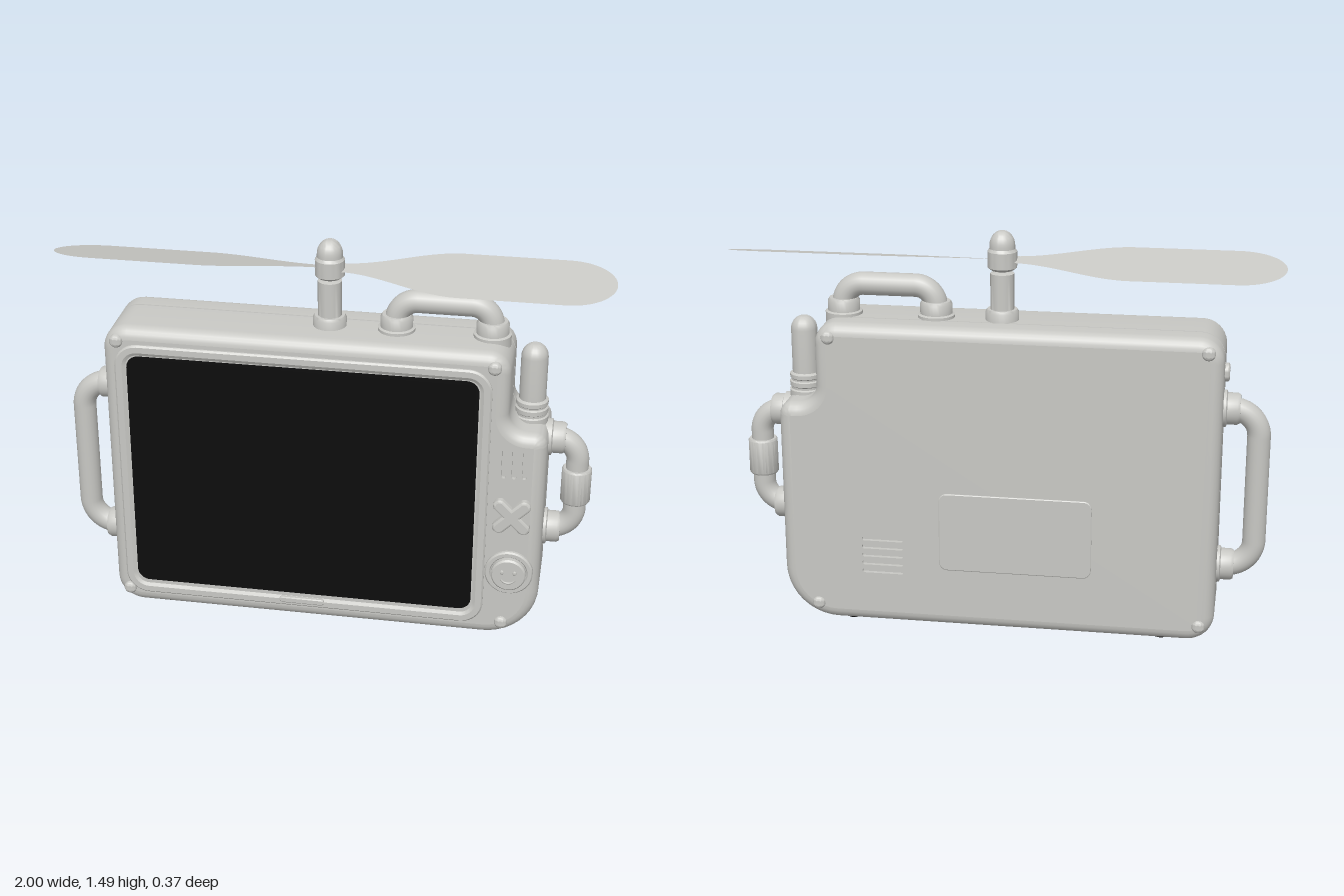
import * as THREE from 'three';
import { mergeGeometries, toCreasedNormals } from 'three/addons/utils/BufferGeometryUtils.js';

const V2 = (x, y) => new THREE.Vector2(x, y);
const V3 = (x, y, z) => new THREE.Vector3(x, y, z);
const AXIS_Z = -0.012; // depth of mast, antenna and handles
const FRONT = 0.15, BACK = -0.175;

// Rounded right-angled outline (counter-clockwise): points with outward normals
function outline(corners, seg = 8) {
  const out = [], n = corners.length;
  corners.forEach(([x, y, r], i) => {
    const a = corners[(i + n - 1) % n], b = corners[(i + 1) % n];
    const d1 = V2(x - a[0], y - a[1]).normalize(), d2 = V2(b[0] - x, b[1] - y).normalize();
    const s = Math.sign(d1.cross(d2));
    const start = Math.atan2(-d1.x, d1.y);
    const c = V2(x - d1.x * r - d1.y * r * s, y - d1.y * r + d1.x * r * s);
    for (let k = 0; k <= seg; k++) {
      const t = start + s * (k / seg) * Math.PI / 2, nx = Math.cos(t), ny = Math.sin(t);
      out.push({ x: c.x + nx * r * s, y: c.y + ny * r * s, nx, ny });
    }
  });
  return out;
}
const rect = (cx, cy, w, h, r) => outline([
  [cx - w / 2, cy - h / 2, r], [cx + w / 2, cy - h / 2, r], [cx + w / 2, cy + h / 2, r], [cx - w / 2, cy + h / 2, r]]);
const inset = (o, d) => o.map(p => V2(p.x - p.nx * d, p.y - p.ny * d));

// Flat end face, facing forwards or backwards
function cap(pts, z, holes = [], back = false) {
  const m = p => V2(back ? -p.x : p.x, p.y);
  const shape = new THREE.Shape(pts.map(m));
  shape.holes = holes.map(h => new THREE.Path(h.map(m)));
  const g = new THREE.ShapeGeometry(shape).toNonIndexed();
  g.deleteAttribute('uv');
  if (back) g.rotateY(Math.PI);
  return g.translate(0, 0, z);
}

// Walls through rings [z, inset] of one outline, with optional end faces
function loft(o, rings, { frontCap = true, backCap = false, frontHoles = [], backHoles = [] } = {}) {
  const pos = [], idx = [], n = o.length;
  rings.forEach(([z, d], k) => {
    inset(o, d).forEach((p, i) => {
      pos.push(p.x, p.y, z);
      if (k < rings.length - 1) {
        const a = k * n + i, b = k * n + (i + 1) % n;
        idx.push(a, b, b + n, a, b + n, a + n);
      }
    });
  });
  let g = new THREE.BufferGeometry();
  g.setAttribute('position', new THREE.Float32BufferAttribute(pos, 3));
  g.setIndex(idx);
  g = toCreasedNormals(g, 0.5);
  const parts = [g], first = rings[0], last = rings[rings.length - 1];
  if (frontCap) parts.push(cap(inset(o, last[1]), last[0], frontHoles));
  if (backCap) parts.push(cap(inset(o, first[1]), first[0], backHoles, true));
  return mergeGeometries(parts);
}

function lathe(pts, seg = 32) {
  return toCreasedNormals(new THREE.LatheGeometry(pts.map(p => V2(...p)), seg), 0.6);
}
// Rounded end for a lathe profile
const dome = (r, y, h) => Array.from({ length: 9 }, (_, i) => {
  const t = i / 8 * Math.PI / 2;
  return [i === 8 ? 0 : r * Math.cos(t), y + h * Math.sin(t)];
});

export function createModel() {
  const model = new THREE.Group();
  const grey = new THREE.MeshStandardMaterial({ color: 0xc8c8c4 });
  grey.name = 'light grey shell';
  const black = new THREE.MeshStandardMaterial({ color: 0x0c0c0c });
  black.name = 'black';
  const greyThin = new THREE.MeshStandardMaterial({ color: 0xc8c8c4, side: THREE.DoubleSide });
  greyThin.name = 'light grey blade';
  const add = (name, geo, mat = grey, parent = model) => {
    const m = new THREE.Mesh(geo, mat);
    m.name = name;
    parent.add(m);
    return m;
  };

  // Casing: stepped outline, rounded rims and a seam groove
  const vents = [0.653, 0.69, 0.727].map(x => rect(x, 0.742, 0.018, 0.12, 0.0085));
  const grilles = [0, 1, 2, 3, 4].map(i => rect(-0.422, 0.218 + i * 0.032, 0.155, 0.016, 0.0075));
  const bevel = 0.045, quarter = [0, 1, 2, 3, 4, 5, 6].map(i => i / 6 * Math.PI / 2);
  const rings = [
    ...quarter.map(t => [BACK + bevel * (1 - Math.sin(t)), bevel * (1 - Math.cos(Math.PI / 2 - (Math.PI / 2 - t)))])
      .map(([z], i) => [z, bevel * (1 - Math.cos(Math.PI / 2 - quarter[i]))]),
    [-0.071, 0], [-0.07, 0.008], [-0.065, 0.008], [-0.064, 0],
    ...quarter.map(t => [FRONT - bevel * (1 - Math.sin(t)), bevel * (1 - Math.cos(t))])];
  // back rim: starts fully inset at the back face and swells to the full outline
  quarter.forEach((t, i) => { rings[i] = [BACK + bevel * (1 - Math.cos(t)), bevel * (1 - Math.sin(t))]; });
  const body = outline([[-0.8, 0.01, 0.1], [0.8, 0.01, 0.2], [0.8, 0.855, 0.05],
    [0.66, 0.855, 0.07], [0.66, 1.16, 0.08], [-0.8, 1.16, 0.09]], 10);
  add('casing', loft(body, rings, {
    backCap: true,
    frontHoles: vents.map(v => inset(v, 0)),
    backHoles: grilles.map(v => inset(v, 0).map(p => V2(-p.x, p.y)).reverse()),
  }));
  vents.forEach(v => add('speakerSlot', loft(v, [[FRONT, 0], [FRONT - 0.015, 0]])));
  grilles.forEach(v => { add('backVentSlot', loft(v, [[-BACK, 0], [-BACK - 0.015, 0]])).rotation.y = Math.PI; });

  // Battery door on the back
  add('batteryDoor', loft(rect(0.07, 0.39, 0.56, 0.3, 0.03),
    [[-BACK - 0.002, 0], [-BACK + 0.003, 0], [-BACK + 0.005, 0.003]])).rotation.y = Math.PI;

  // Screen, its raised frame and the small bar below
  add('screenFrame', loft(rect(-0.077, 0.583, 1.355, 1.035, 0.085),
    [[FRONT - 0.01, 0], [FRONT + 0.006, 0], [FRONT + 0.012, 0.006], [FRONT + 0.012, 0.028],
      [FRONT + 0.005, 0.04], [FRONT + 0.005, 0.06]], { frontCap: false }));
  add('screen', loft(rect(-0.077, 0.59, 1.265, 0.935, 0.045), [[FRONT, 0], [FRONT + 0.009, 0]]), black);
  add('statusBar', loft(rect(-0.077, 0.093, 0.17, 0.024, 0.0115),
    [[FRONT, 0], [FRONT + 0.016, 0], [FRONT + 0.019, 0.004]]));

  // Screws at the corners, front and back
  const screwGeo = lathe([[0.024, 0], [0.024, 0.022], ...dome(0.024, 0.022, 0.013)], 20);
  for (const [x, y] of [[-0.745, 1.11], [0.605, 1.11], [-0.745, 0.075], [0.67, 0.075]]) {
    for (const s of [1, -1]) {
      const m = add(s > 0 ? 'frontScrew' : 'backScrew', screwGeo);
      m.rotation.x = s * Math.PI / 2;
      m.position.set(x, y, s > 0 ? FRONT - 0.018 : BACK + 0.022);
    }
  }

  // Cross button
  for (const a of [1, -1]) {
    const m = add('crossButton', loft(rect(0, 0, 0.17, 0.046, 0.022),
      [[0, 0], [0.02, 0], [0.025, 0.003], [0.027, 0.008]]));
    m.rotation.z = a * Math.PI / 4;
    m.position.set(0.69, 0.535, FRONT);
  }

  // Round button with a smiling face
  const button = new THREE.Group();
  button.name = 'faceButton';
  button.position.set(0.69, 0.297, FRONT);
  model.add(button);
  add('buttonBase', lathe([[0.088, -0.01], [0.088, 0.01], [0.083, 0.016], [0.07, 0.016], [0.066, 0.01],
    [0.064, 0.01], [0.064, 0.026], [0.058, 0.032], [0, 0.032]], 40), grey, button).rotation.x = Math.PI / 2;
  for (const s of [1, -1]) {
    const eye = add('eye', new THREE.SphereGeometry(0.007, 12, 8), grey, button);
    eye.scale.set(1, 1.3, 0.4);
    eye.position.set(s * 0.023, 0.012, 0.032);
  }
  const smile = add('smile', new THREE.TorusGeometry(0.03, 0.004, 8, 20, 2.2), grey, button);
  smile.rotation.z = -Math.PI / 2 - 1.1;
  smile.position.set(0, -0.002, 0.031);

  // Pipe handles: U-shaped tube on two flanged sockets
  const socket = lathe([[0.067, -0.03], [0.067, 0.01], [0.058, 0.014], [0.058, 0.05], [0.052, 0.06], [0.035, 0.06]]);
  function handle(name, span, rise, bend, r) {
    const g = new THREE.Group(), h = span / 2, path = new THREE.CurvePath();
    g.name = name;
    const k = bend * 0.45;
    path.add(new THREE.LineCurve3(V3(-h, 0, 0), V3(-h, rise - bend, 0)));
    path.add(new THREE.CubicBezierCurve3(V3(-h, rise - bend, 0), V3(-h, rise - k, 0), V3(-h + k, rise, 0), V3(-h + bend, rise, 0)));
    path.add(new THREE.LineCurve3(V3(-h + bend, rise, 0), V3(h - bend, rise, 0)));
    path.add(new THREE.CubicBezierCurve3(V3(h - bend, rise, 0), V3(h - k, rise, 0), V3(h, rise - k, 0), V3(h, rise - bend, 0)));
    path.add(new THREE.LineCurve3(V3(h, rise - bend, 0), V3(h, 0, 0)));
    add('pipe', new THREE.TubeGeometry(path, 80, r, 20), grey, g);
    for (const s of [1, -1]) add('socket', socket, grey, g).position.x = s * h;
    model.add(g);
    return g;
  }
  handle('topHandle', 0.34, 0.113, 0.075, 0.042).position.set(0.41, 1.16, AXIS_Z);
  const left = handle('rightSideHandle', 0.603, 0.13, 0.1, 0.042);
  left.rotation.z = Math.PI / 2;
  left.position.set(-0.8, 0.563, AXIS_Z);
  const right = handle('leftSideHandle', 0.37, 0.107, 0.085, 0.041);
  right.rotation.z = -Math.PI / 2;
  right.position.set(0.8, 0.595, AXIS_Z);
  const sleeve = add('gripSleeve', lathe([[0.04, -0.068], [0.05, -0.068], [0.054, -0.062], [0.054, 0.062], [0.05, 0.068], [0.04, 0.068]]), grey, right);
  sleeve.rotation.z = Math.PI / 2;
  sleeve.position.y = 0.107;

  // Round jack on the side
  const jack = add('sideJack', lathe([[0.034, -0.01], [0.034, 0.012], [0.028, 0.017], [0.016, 0.017], [0.014, 0.008], [0, 0.008]], 24));
  jack.rotation.z = Math.PI / 2;
  jack.position.set(-0.8, 1.0, AXIS_Z);

  // Stub antenna with ringed base
  add('antenna', lathe([[0.06, -0.02], [0.06, 0.012], [0.054, 0.016], [0.054, 0.024], [0.059, 0.028], [0.059, 0.044],
    [0.053, 0.048], [0.053, 0.054], [0.058, 0.058], [0.058, 0.072], [0.048, 0.078], ...dome(0.048, 0.24, 0.05)]))
    .position.set(0.732, 0.855, AXIS_Z);

  // Mast and propeller hub
  add('mast', lathe([[0.06, 1.14], [0.06, 1.19], [0.054, 1.2], [0.043, 1.2], [0.043, 1.33], [0.02, 1.335], [0.02, 1.35]]))
    .position.z = AXIS_Z;
  add('propellerHub', lathe([[0, 1.342], [0.04, 1.342], [0.053, 1.352], [0.053, 1.41], [0.046, 1.42], ...dome(0.046, 1.43, 0.055)]))
    .position.z = AXIS_Z;

  // Two pitched blades, narrow at the root and round at the tip
  const blade = new THREE.PlaneGeometry(1, 1, 48, 8), p = blade.attributes.position;
  for (let i = 0; i < p.count; i++) {
    const x = 0.03 + 0.97 * Math.sin((p.getX(i) + 0.5) * Math.PI / 2);
    const tip = Math.sqrt(Math.max(0, 1 - Math.max(0, (x - 0.83) / 0.17) ** 2));
    const w = (0.027 + 0.104 * THREE.MathUtils.smoothstep(x, 0.04, 0.46)) * tip;
    const z = -p.getY(i) * 2 * w;
    p.setXYZ(i, x, 1.38 - z * 0.22, z);
  }
  blade.computeVertexNormals();
  for (const a of [0, Math.PI]) {
    const m = add('propellerBlade', blade, greyThin);
    m.rotation.y = a;
    m.position.z = AXIS_Z;
  }

  // Rubber feet
  for (const x of [-0.605, 0.552]) for (const z of [0.077, -0.1])
    add('foot', new THREE.CylinderGeometry(0.027, 0.027, 0.02, 20), black).position.set(x, 0.01, z);

  return model;
}
